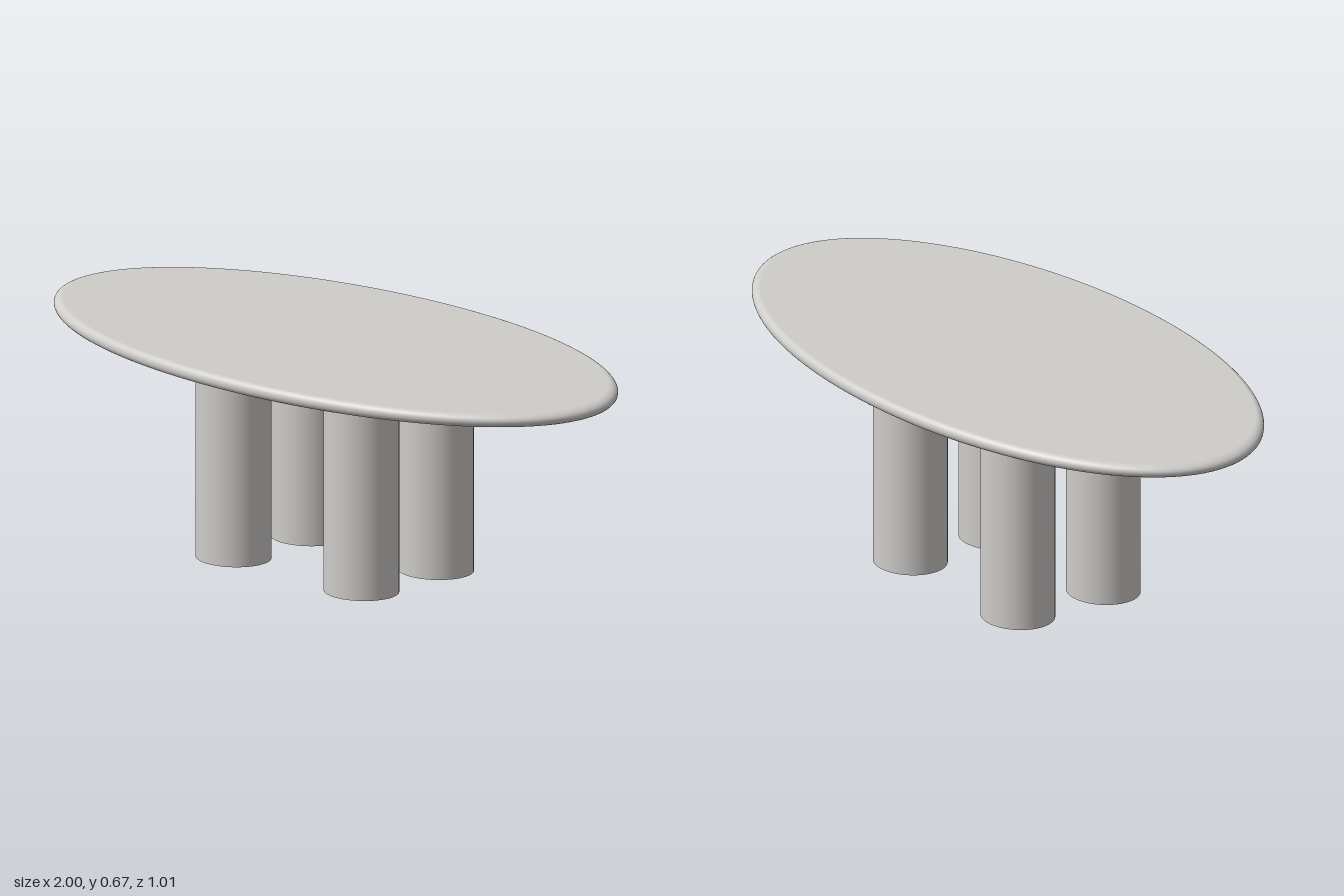
import * as THREE from 'three';

export function createModel() {
  const table = new THREE.Group();
  table.name = 'ovalTable';

  const paleGrey = new THREE.MeshStandardMaterial({ color: 0xcfcdca });
  paleGrey.name = 'paleGrey';

  // Oval top: a disc with a rounded rim, squeezed along z
  const bottomY = 0.63, topY = 0.67, rim = 0.035;
  const midY = (bottomY + topY) / 2, halfThickness = (topY - bottomY) / 2;
  const profile = [new THREE.Vector2(0, bottomY)];
  const steps = 14;
  for (let i = 0; i <= steps; i++) {
    const a = -Math.PI / 2 + (Math.PI * i) / steps;
    profile.push(new THREE.Vector2(1 - rim + rim * Math.cos(a), midY + halfThickness * Math.sin(a)));
  }
  profile.push(new THREE.Vector2(0, topY));
  const topGeometry = new THREE.LatheGeometry(profile, 128);
  topGeometry.scale(1, 1, 0.505);
  const top = new THREE.Mesh(topGeometry, paleGrey);
  top.name = 'tableTop';
  table.add(top);

  // Four thick, slightly oval legs, set a little off centre
  const legGeometry = new THREE.CylinderGeometry(1, 1, bottomY, 64);
  legGeometry.scale(0.112, 1, 0.1025);
  for (const [side, x] of [['Right', -0.286], ['Left', 0.218]]) {
    for (const [end, z] of [['front', 0.122], ['back', -0.182]]) {
      const leg = new THREE.Mesh(legGeometry, paleGrey);
      leg.name = `${end}${side}Leg`;
      leg.position.set(x, bottomY / 2, z);
      table.add(leg);
    }
  }

  return table;
}
